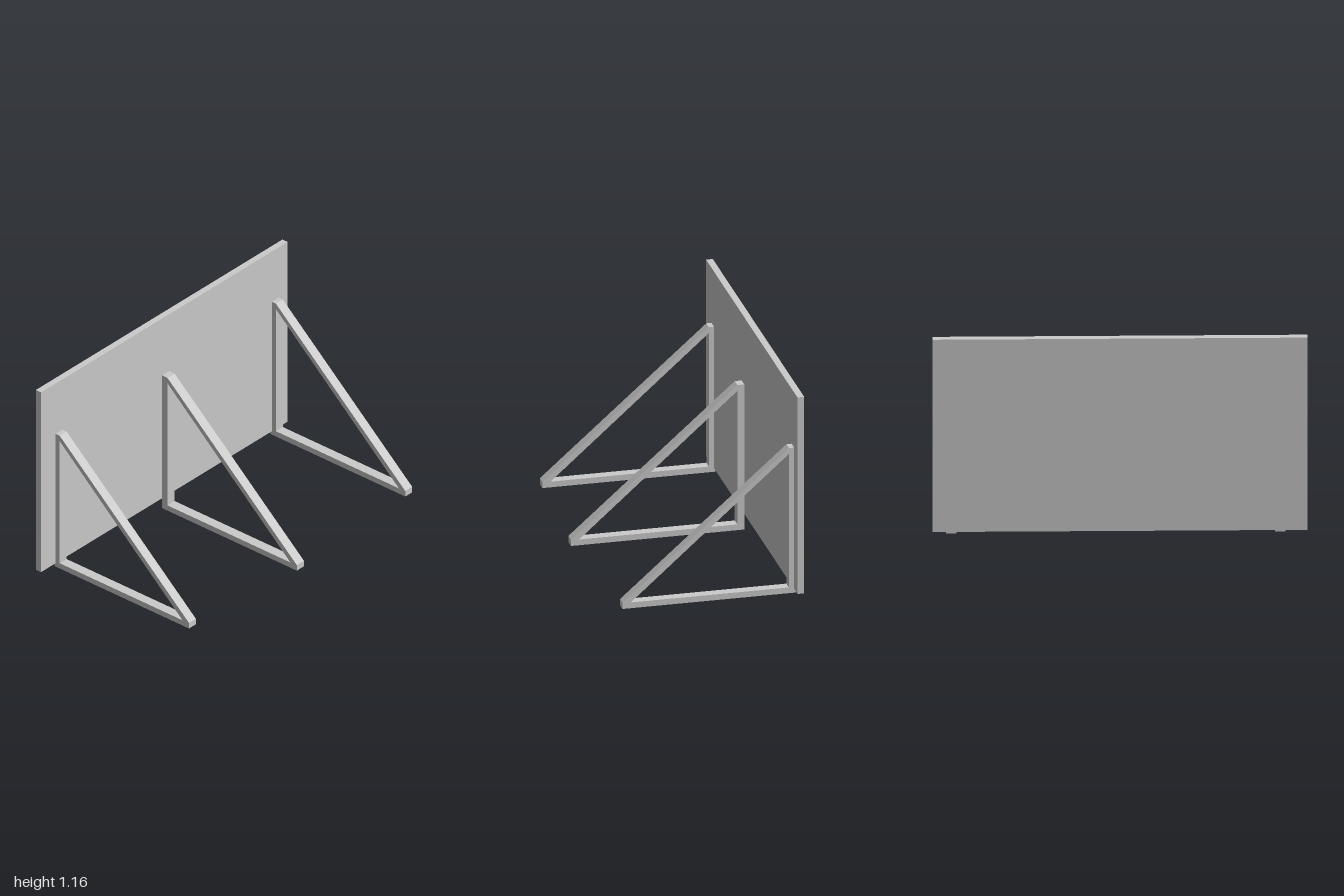
import * as THREE from 'three';

const material = new THREE.MeshStandardMaterial({ color: 0xcccccc, flatShading: true });

const points = (list) => list.map(([x, y]) => new THREE.Vector2(x, y));

// Triangular brace: upright post, floor beam and diagonal strut around an open middle
function createBrace(name, x, y, z, depth) {
  const shape = new THREE.Shape(points([
    [0, 0], [0.953, 0], [0.953, 0.035], [0.038, 0.836], [0, 0.836],
  ]));
  shape.holes.push(new THREE.Path(points([
    [0.038, 0.033], [0.038, 0.802], [0.908, 0.033],
  ])));
  const geometry = new THREE.ExtrudeGeometry(shape, { depth, bevelEnabled: false });
  geometry.translate(0, 0, -depth / 2);
  const brace = new THREE.Mesh(geometry, material);
  brace.name = name;
  brace.position.set(x, y, z);
  return brace;
}

export function createModel() {
  const model = new THREE.Group();
  model.name = 'bracedPanel';

  // Upright panel
  const panel = new THREE.Mesh(new THREE.BoxGeometry(0.037, 1.132, 2), material);
  panel.name = 'panel';
  panel.position.set(-0.497, 0.596, 0);
  model.add(panel);

  // End braces touch the panel; the middle one stands slightly clear of it
  model.add(
    createBrace('frontBrace', -0.488, 0.009, 0.854, 0.056),
    createBrace('middleBrace', -0.439, 0.006, 0.035, 0.058),
    createBrace('backBrace', -0.488, 0.009, -0.9, 0.056),
  );

  // Foot of the middle brace rests on the ground
  model.position.y = -0.006;
  const group = new THREE.Group();
  group.add(model);
  return group;
}
